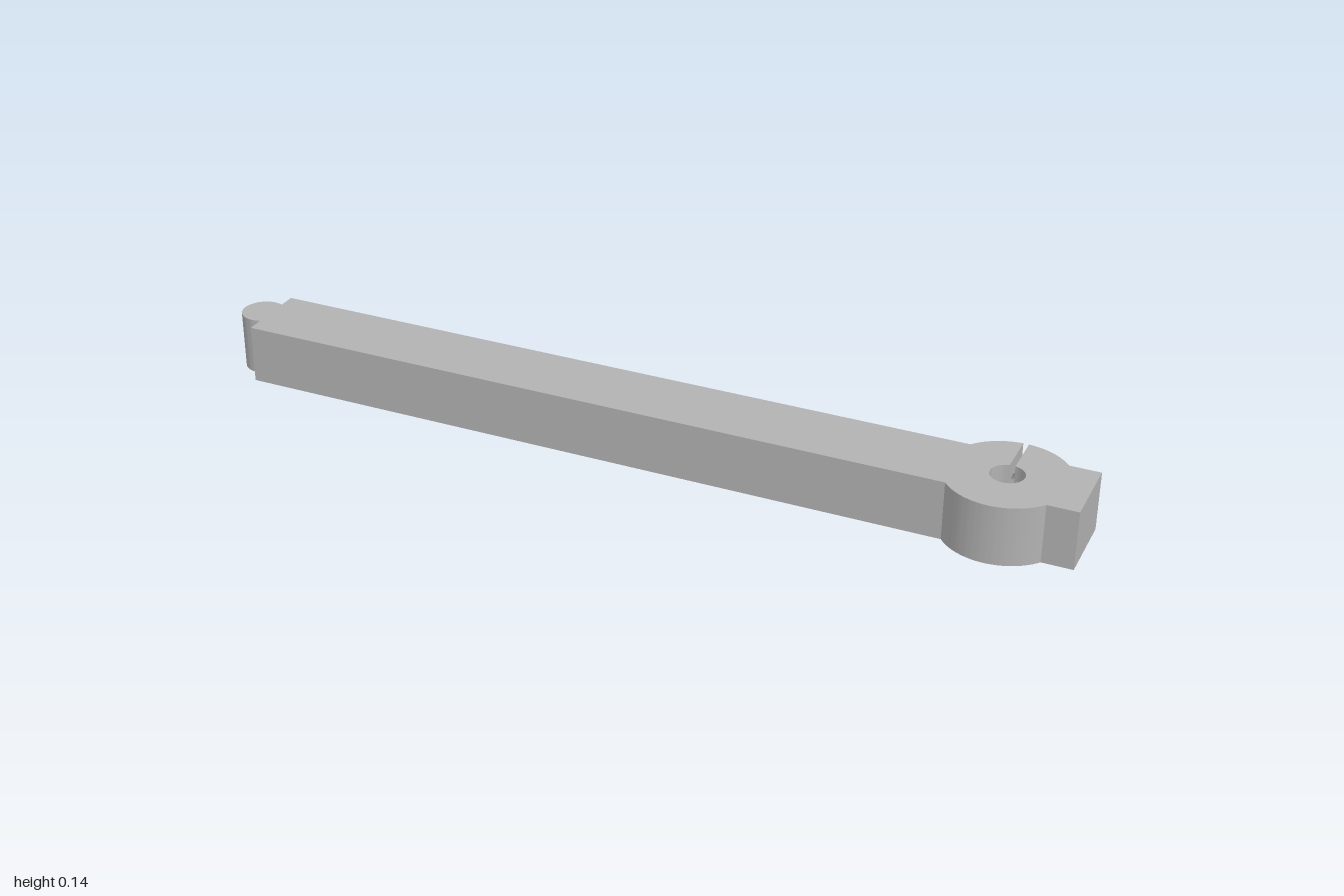
import * as THREE from 'three';
import { toCreasedNormals } from 'three/addons/utils/BufferGeometryUtils.js';

// Plan coordinates are (x, v) with v = -z, so v > 0 is the back.
const H = 0.135;                       // height
const W = 0.085;                       // half width of the bar
const HUB = { x: 0.827, r: 0.135, bore: 0.037, slot: 0.006 };
const BOLT = { v: 0.0675, y: 0.068, r: 0.027, half: 0.16 }; // cross hole along x
const NUB = { x: -0.95, r: 0.05 };
const BAR_END = -0.93;

const arc = (cx, r, a0, a1, n) => Array.from({ length: n + 1 }, (_, i) => {
  const a = a0 + (a1 - a0) * i / n;
  return [cx + r * Math.cos(a), r * Math.sin(a)];
});

// Collects quads and triangles, then creases the normals
function surface() {
  const p = [];
  return {
    tri: (a, b, c) => p.push(...a, ...b, ...c),
    quad: (a, b, c, d) => p.push(...a, ...b, ...c, ...a, ...c, ...d),
    build() {
      const g = new THREE.BufferGeometry();
      g.setAttribute('position', new THREE.Float32BufferAttribute(p, 3));
      return toCreasedNormals(g, Math.PI / 6);
    },
  };
}

// Counterclockwise outline of the arm, running through the slot around the bore
function outline() {
  const { x, r, bore, slot } = HUB;
  const join = Math.asin(W / r);
  const holeTop = Math.asin((BOLT.v + BOLT.r) / r);
  const slotOut = Math.acos(slot / r), slotIn = Math.acos(slot / bore);
  const nub = Math.acos((BAR_END - NUB.x) / NUB.r);
  const slotWall = Array.from({ length: 25 }, (_, i) =>
    BOLT.v + BOLT.r * Math.cos(Math.PI * i / 24));
  return [
    [BAR_END, -W],
    ...arc(x, r, Math.PI + join, 2 * Math.PI - join, 40),
    [1, -W], [1, W], [x + BOLT.half, W],
    ...arc(x, r, join, holeTop, 8),
    ...arc(x, r, holeTop, slotOut, 16).slice(1),
    ...slotWall.map((v) => [x + slot, v]),
    ...arc(x, bore, slotIn, slotIn - 2 * Math.PI + (2 * slotIn - Math.PI) * -1, 48),
    ...slotWall.reverse().map((v) => [x - slot, v]),
    ...arc(x, r, Math.PI - slotOut, Math.PI - holeTop, 16),
    ...arc(x, r, Math.PI - holeTop, Math.PI - join, 8).slice(1),
    [x - BOLT.half, W], [BAR_END, W],
    ...arc(NUB.x, NUB.r, nub, 2 * Math.PI - nub, 32),
  ];
}

// Upright walls, left open where the bolt hole breaks through
function wallGeometry(points) {
  const s = surface();
  const gap = (v) => Math.sqrt(Math.max(0, BOLT.r ** 2 - (v - BOLT.v) ** 2));
  points.forEach(([ax, av], i) => {
    const [bx, bv] = points[(i + 1) % points.length];
    const strip = (a0, b0, b1, a1) =>
      s.quad([ax, a0, -av], [bx, b0, -bv], [bx, b1, -bv], [ax, a1, -av]);
    const inReach = Math.abs((ax + bx) / 2 - HUB.x) < BOLT.half;
    const ga = gap(av), gb = gap(bv);
    if (inReach && ga + gb > 1e-6) {
      strip(0, 0, BOLT.y - gb, BOLT.y - ga);
      strip(BOLT.y + ga, BOLT.y + gb, H, H);
    } else strip(0, 0, H, H);
  });
  return s.build();
}

// Inner surface of the bolt hole with its two flat ends
function boltHoleGeometry() {
  const s = surface();
  const edge = Math.acos((W - BOLT.v) / BOLT.r);
  const at = (x, a) => [x, BOLT.y + BOLT.r * Math.sin(a), -(BOLT.v + BOLT.r * Math.cos(a))];
  const hubReach = (a) => Math.sqrt(HUB.r ** 2 - (BOLT.v + BOLT.r * Math.cos(a)) ** 2);
  const tube = (from, to, n, reach) => {
    for (let i = 0; i < n; i++) {
      const a = from + (to - from) * i / n, b = from + (to - from) * (i + 1) / n;
      s.quad(at(HUB.x - reach(a), a), at(HUB.x - HUB.slot, a),
        at(HUB.x - HUB.slot, b), at(HUB.x - reach(b), b));
      s.quad(at(HUB.x + HUB.slot, a), at(HUB.x + reach(a), a),
        at(HUB.x + reach(b), b), at(HUB.x + HUB.slot, b));
      if (reach === hubReach) continue;
      const l = HUB.x - BOLT.half, r = HUB.x + BOLT.half;
      s.tri([l, BOLT.y, -W], at(l, a), at(l, b));
      s.tri([r, BOLT.y, -W], at(r, b), at(r, a));
    }
  };
  tube(edge, 2 * Math.PI - edge, 32, () => BOLT.half); // inside the bar
  tube(-edge, edge, 12, hubReach);                     // beyond the bar, in the hub
  return s.build();
}

export function createModel() {
  const group = new THREE.Group();
  group.name = 'clampArm';
  const grey = new THREE.MeshStandardMaterial({ color: 0xb2b2b2 });
  grey.name = 'grey';
  const add = (name, geometry) => {
    const mesh = new THREE.Mesh(geometry, grey);
    mesh.name = name;
    group.add(mesh);
    return mesh;
  };

  const points = outline();
  const plan = new THREE.Shape(points.map(([x, v]) => new THREE.Vector2(x, v)));
  // Top and bottom faces
  add('topFace', new THREE.ShapeGeometry(plan).rotateX(-Math.PI / 2).translate(0, H, 0));
  const under = new THREE.Shape(points.map(([x, v]) => new THREE.Vector2(x, -v)));
  add('bottomFace', new THREE.ShapeGeometry(under).rotateX(Math.PI / 2));
  // Sides of bar, hub, slot, bore and end nub
  add('sideWalls', wallGeometry(points));
  // Clamp bolt hole across the slot
  add('boltHole', boltHoleGeometry());
  return group;
}
